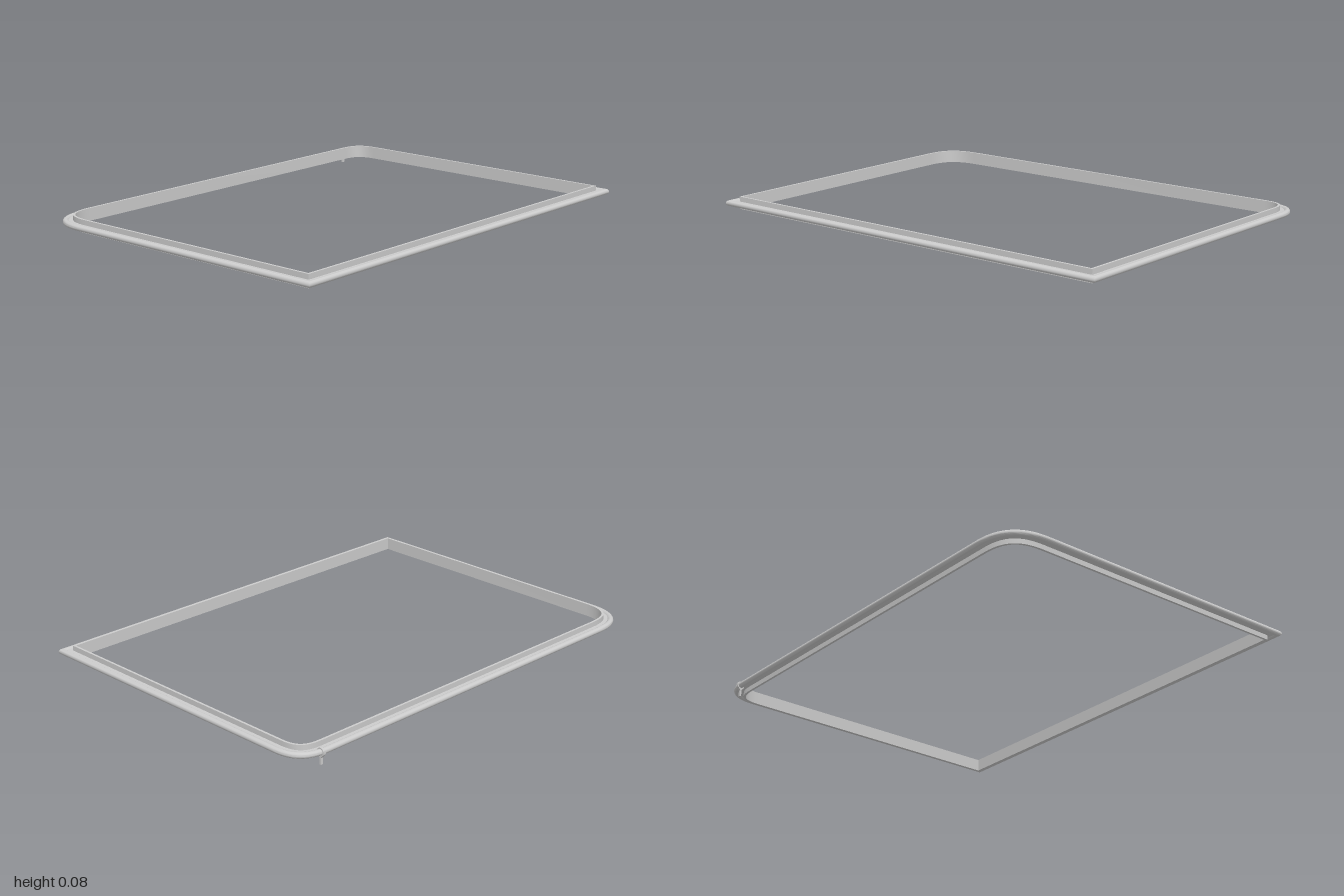
import * as THREE from 'three';
import { toCreasedNormals } from 'three/addons/utils/BufferGeometryUtils.js';

const MID_Y = 0.052, BEAD_R = 0.013;
const LEFT = -0.736, RIGHT = 0.74;
const material = new THREE.MeshStandardMaterial({ color: 0xcccccc, side: THREE.DoubleSide });

// Rounded corner between two straight sides, as points along a curve
function corner(x, z, from, to, span, steps = 14) {
  const curve = new THREE.QuadraticBezierCurve(
    new THREE.Vector2(x + from[0] * span, z + from[1] * span),
    new THREE.Vector2(x, z),
    new THREE.Vector2(x + to[0] * span, z + to[1] * span));
  return curve.getPoints(steps);
}

// Cross-section: round outer bead, narrow neck, upright inner flange (x = distance inward)
function sealProfile() {
  const pts = [[0.043, 0.025], [0.053, 0.025], [0.053, 0.08], [0.043, 0.08], [0.043, MID_Y + 0.006]];
  const start = Math.asin(0.006 / BEAD_R), steps = 16;
  for (let i = 0; i <= steps; i++) {
    const a = start + (i / steps) * (2 * Math.PI - 2 * start);
    pts.push([BEAD_R + BEAD_R * Math.cos(a), MID_Y + BEAD_R * Math.sin(a)]);
  }
  pts.push([0.043, MID_Y - 0.006]);
  return pts;
}

// Sweep a profile round a closed plan path, with mitred joints
function sweepClosed(path, profile) {
  const n = path.length, m = profile.length;
  const inward = path.map((p, i) => {
    const q = path[(i + 1) % n];
    const t = new THREE.Vector2().subVectors(q, p).normalize();
    return new THREE.Vector2(-t.y, t.x);
  });
  const pos = [], index = [];
  path.forEach((p, i) => {
    const a = inward[(i + n - 1) % n], b = inward[i];
    const mitre = a.clone().add(b).divideScalar(1 + a.dot(b));
    for (const [d, y] of profile) pos.push(p.x + mitre.x * d, y, p.y + mitre.y * d);
  });
  for (let i = 0; i < n; i++) {
    for (let j = 0; j < m; j++) {
      const i2 = (i + 1) % n, j2 = (j + 1) % m;
      const a = i * m + j, b = i2 * m + j, c = i * m + j2, d = i2 * m + j2;
      index.push(a, b, c, c, b, d);
    }
  }
  const geo = new THREE.BufferGeometry();
  geo.setAttribute('position', new THREE.Float32BufferAttribute(pos, 3));
  geo.setIndex(index);
  return toCreasedNormals(geo, 0.6);
}

function addMesh(parent, name, geometry) {
  const mesh = new THREE.Mesh(geometry, material);
  mesh.name = name;
  parent.add(mesh);
  return mesh;
}

export function createModel() {
  const model = new THREE.Group();
  model.name = 'frameSeal';

  // Frame: square corners on one side, rounded on the other
  const path = [
    new THREE.Vector2(RIGHT, 1),
    ...corner(LEFT, 1, [1, 0], [0, -1], 0.2),
    ...corner(LEFT, -1, [0, 1], [1, 0], 0.15),
    new THREE.Vector2(RIGHT, -1),
  ];
  addMesh(model, 'sealStrip', sweepClosed(path, sealProfile()));

  // Small clip round the bead with a stem pointing down
  const clip = new THREE.Group();
  clip.name = 'clip';
  clip.position.set(-0.722, MID_Y, -0.877);
  model.add(clip);

  const band = new THREE.Shape().absarc(0, 0, 0.018, 0, Math.PI * 2);
  band.holes.push(new THREE.Path().absarc(0, 0, 0.0125, 0, Math.PI * 2, true));
  const bandGeo = new THREE.ExtrudeGeometry(band, { depth: 0.012, bevelEnabled: false, curveSegments: 20 });
  bandGeo.translate(0, 0, -0.006);
  addMesh(clip, 'clipBand', toCreasedNormals(bandGeo, 0.6));

  const stem = new THREE.Shape([
    [-0.011, -0.0135], [-0.003, -0.024], [-0.003, -MID_Y],
    [0.003, -MID_Y], [0.003, -0.024], [0.011, -0.0135],
  ].map(([x, y]) => new THREE.Vector2(x, y)));
  const stemGeo = new THREE.ExtrudeGeometry(stem, { depth: 0.012, bevelEnabled: false });
  stemGeo.translate(0, 0, -0.006);
  addMesh(clip, 'clipStem', stemGeo);

  return model;
}
